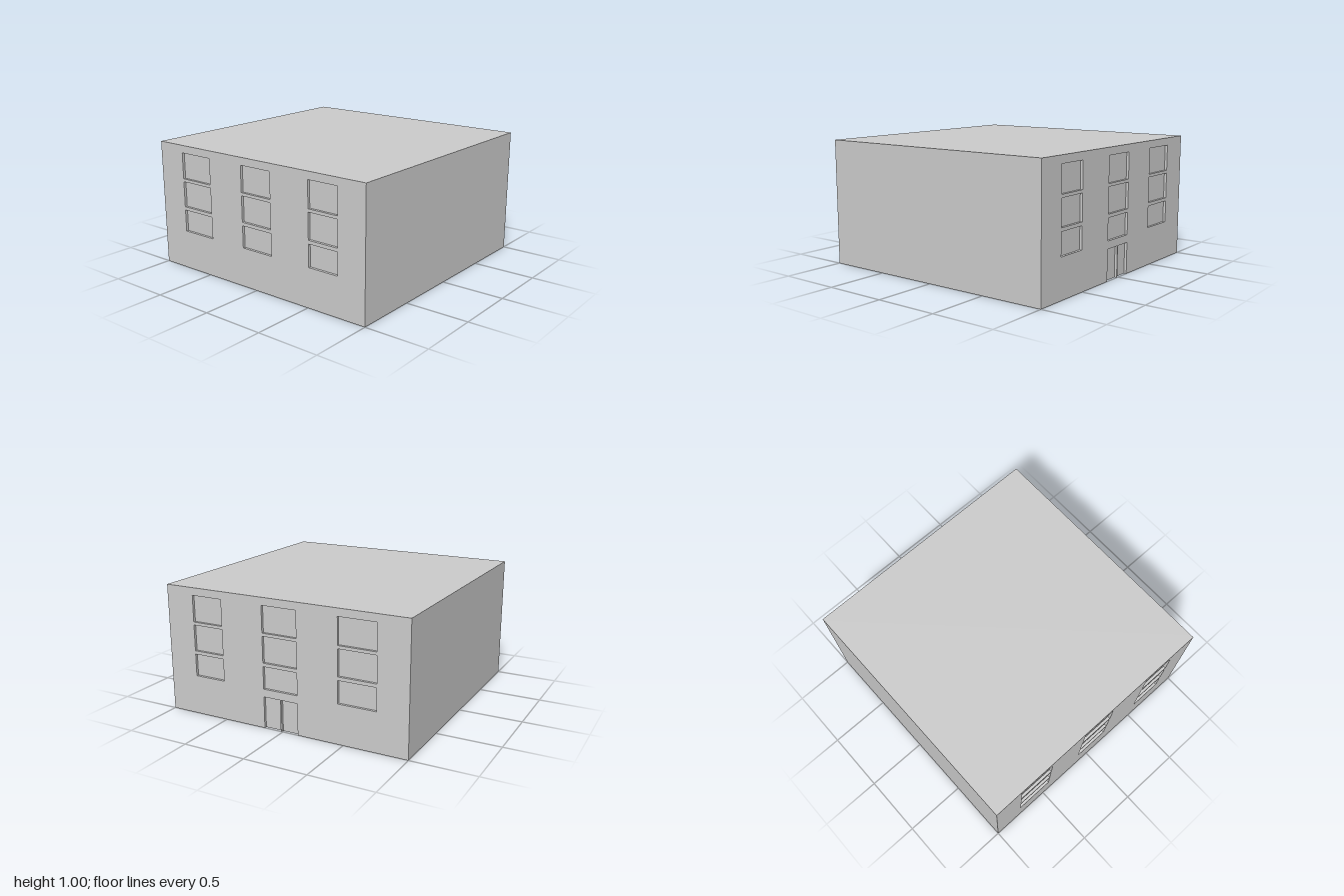
import * as THREE from 'three';

const DEPTH = 0.02; // how far windows and doors are set back
const HEIGHT = 1;
const COLUMNS = [[-0.757, -0.457], [-0.128, 0.157], [0.51, 0.767]]; // z ranges
const ROWS = [[0.307, 0.481], [0.508, 0.711], [0.735, 0.94]]; // y ranges
const DOORS = [[-0.128, 0.008], [0.018, 0.157]]; // z ranges of the two leaves
const DOOR_TOP = 0.246;

const material = new THREE.MeshStandardMaterial({ color: 0xcccccc, flatShading: true });

function addMesh(parent, name, geometry) {
  const mesh = new THREE.Mesh(geometry, material);
  mesh.name = name;
  parent.add(mesh);
  return mesh;
}

// Wall skin on the side of the given sign, pierced by windows and notched by doors
function facade(side, doors) {
  const u = (z) => -side * z; // shape x for a given z
  const wall = new THREE.Shape();
  wall.moveTo(-1, 0);
  const notches = doors
    .map(([a, b]) => [u(a), u(b)].sort((p, q) => p - q))
    .sort((p, q) => p[0] - q[0]);
  for (const [a, b] of notches) {
    wall.lineTo(a, 0);
    wall.lineTo(a, DOOR_TOP);
    wall.lineTo(b, DOOR_TOP);
    wall.lineTo(b, 0);
  }
  wall.lineTo(1, 0);
  wall.lineTo(1, HEIGHT);
  wall.lineTo(-1, HEIGHT);
  wall.closePath();

  for (const [z0, z1] of COLUMNS) {
    for (const [y0, y1] of ROWS) {
      wall.holes.push(new THREE.Path([
        new THREE.Vector2(u(z0), y0), new THREE.Vector2(u(z0), y1),
        new THREE.Vector2(u(z1), y1), new THREE.Vector2(u(z1), y0),
      ]));
    }
  }
  const geometry = new THREE.ExtrudeGeometry(wall, { depth: DEPTH, bevelEnabled: false });
  geometry.rotateY(side * Math.PI / 2);
  geometry.translate(side * (1 - DEPTH), 0, 0);
  return geometry;
}

export function createModel() {
  const building = new THREE.Group();
  building.name = 'building';

  // Solid body, whose sides form the window panes and door leaves
  const body = addMesh(building, 'body', new THREE.BoxGeometry(2 - 2 * DEPTH, HEIGHT, 2));
  body.position.y = HEIGHT / 2;

  // Windowed walls, the left one with a double door
  addMesh(building, 'leftFacade', facade(1, DOORS));
  addMesh(building, 'rightFacade', facade(-1, []));

  return building;
}
